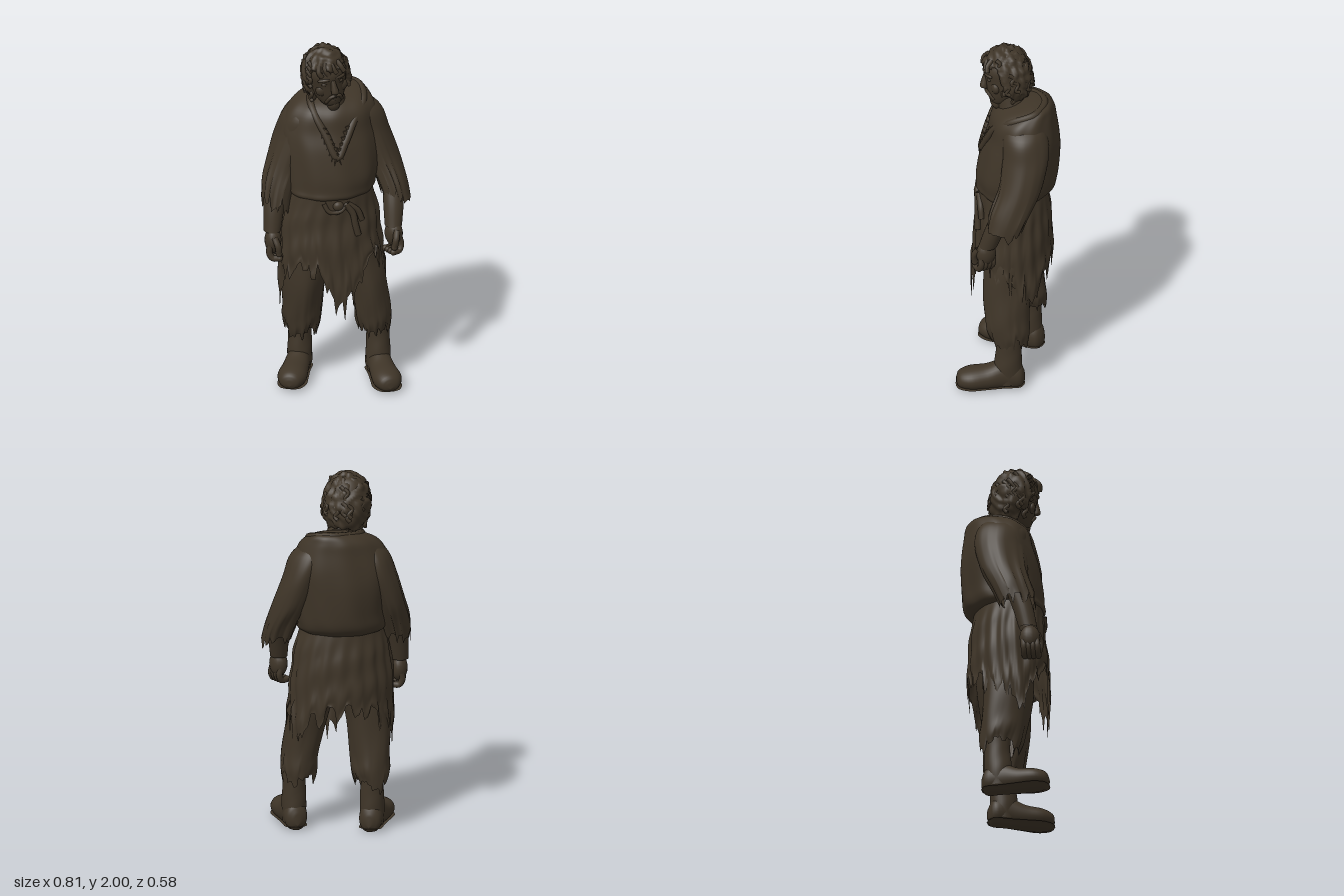
import * as THREE from 'three';

const cloth = new THREE.MeshStandardMaterial({ color: 0x3f3528, side: THREE.DoubleSide });
cloth.name = 'dark brown';
const V = (x, y, z) => new THREE.Vector3(x, y, z);

// seeded random numbers
let seed = 7;
const rnd = () => (seed = (seed * 16807) % 2147483647) / 2147483647;

function add(parent, name, geo) {
  const m = new THREE.Mesh(geo, cloth);
  m.name = name;
  parent.add(m);
  return m;
}

// Smooth skin through elliptical sections [cx, y, cz, rx, rz], top to bottom.
// hem(angle) gives the height of a torn lower edge; folds ripple the cloth.
function loft(secs, { seg = 40, rows = 24, fold = 0, freq = 9, hem = null, cap = false } = {}) {
  const curve = f => new THREE.CatmullRomCurve3(secs.map(f), false, 'catmullrom', 0.5);
  const mid = curve(s => V(s[0], s[1], s[2])), rad = curve(s => V(s[3], s[4], 0));
  const top = secs[0][1], end = secs[secs.length - 1][1], pos = [], idx = [];
  for (let i = 0; i <= rows; i++) {
    const t = i / rows, c = mid.getPoint(t), r = rad.getPoint(t);
    for (let j = 0; j < seg; j++) {
      const a = j / seg * Math.PI * 2;
      const k = 1 + fold * (Math.sin(freq * a + 2 * Math.sin(t * 4)) + 0.6 * Math.sin(t * 17 + 3 * a)) * Math.min(1, t * 4);
      const stretch = hem ? 1 + ((top - hem(a, j)) / (top - end) - 1) * t : 1;
      pos.push(c.x + r.x * k * Math.sin(a), top - (top - c.y) * stretch, c.z + r.y * k * Math.cos(a));
      if (i < rows) {
        const n = (j + 1) % seg, p = i * seg;
        idx.push(p + j, p + seg + j, p + n, p + n, p + seg + j, p + seg + n);
      }
    }
  }
  if (cap) [0, rows].forEach(i => {
    for (let j = 1; j < seg - 1; j++) idx.push(i * seg, i * seg + (i ? j + 1 : j), i * seg + (i ? j : j + 1));
  });
  const g = new THREE.BufferGeometry();
  g.setAttribute('position', new THREE.Float32BufferAttribute(pos, 3));
  g.setIndex(idx);
  g.computeVertexNormals();
  return g;
}

// Torn edge: heights around the body (front, left, back, right) plus ragged strips
function tornHem(heights, rag, seg) {
  const strips = [];
  for (let j = 0; j < seg; j++) strips.push(j % 4 < 2 && strips.length ? strips[j - 1] * 0.8 : (rnd() - 0.35) * rag);
  return (a, j) => {
    const u = a / (Math.PI * 2) * heights.length, i = Math.floor(u), f = u - i;
    return heights[i % heights.length] * (1 - f) + heights[(i + 1) % heights.length] * f - strips[j];
  };
}

const tube = (pts, r, closed = false, n = 24) =>
  new THREE.TubeGeometry(new THREE.CatmullRomCurve3(pts.map(p => V(...p)), closed), n, r, 8, closed);

function ball(parent, name, p, s, rot = [0, 0, 0]) {
  const m = add(parent, name, new THREE.SphereGeometry(1, 18, 12));
  m.position.set(...p);
  m.scale.set(...s);
  m.rotation.set(...rot);
  return m;
}

// Tousled hair: a rippled shell that sinks below the skin over the face
function hairShell() {
  const g = new THREE.SphereGeometry(1, 72, 48), p = g.attributes.position;
  for (let i = 0; i < p.count; i++) {
    const x = p.getX(i), y = p.getY(i), z = p.getZ(i);
    const wave = Math.sin(9 * x + 4 * Math.sin(5 * y + 2 * z)) * Math.sin(8 * y + 3 * Math.sin(6 * z)) + .5 * Math.sin(15 * z + 11 * x + 6 * y);
    const edge = .05 * Math.sin(14 * x + 9 * y);
    const face = (z > .42 + edge && y < .5 + edge) || (z > .1 + edge && y < -.45);
    const k = face || y < -.8 ? .8 : 1.14 + .06 * wave;
    p.setXYZ(i, x * .117 * k, y * .155 * k, z * .122 * k);
  }
  g.computeVertexNormals();
  return g;
}

function makeHead() {
  const h = new THREE.Group();
  h.name = 'head';
  add(h, 'face', loft([[0, .165, -.01, .01, .01], [0, .14, -.01, .075, .08], [0, .07, 0, .112, .122], [0, 0, 0, .108, .122],
    [0, -.07, .015, .092, .108], [0, -.13, .04, .06, .075], [0, -.165, .05, .02, .03]], { seg: 32, cap: true }));
  add(h, 'nose', loft([[0, .035, .115, .012, .012], [0, 0, .128, .016, .018], [0, -.035, .138, .022, .02], [0, -.05, .122, .013, .01]],
    { seg: 16, rows: 12, cap: true }));
  for (const s of [1, -1]) {
    ball(h, 'brow', [s * .045, .042, .107], [.038, .012, .015], [0, s * .35, s * -.12]);
    ball(h, 'eye', [s * .043, .014, .106], [.02, .01, .011]);
    ball(h, 'cheek', [s * .05, -.035, .08], [.042, .038, .026]);
    add(h, 'moustache', tube([[0, -.062, .128], [s * .028, -.072, .122], [s * .046, -.11, .1]], .01));
  }
  ball(h, 'lowerLip', [0, -.095, .112], [.022, .009, .012]);
  ball(h, 'beard', [0, -.145, .085], [.036, .042, .032], [.3, 0, 0]);
  add(h, 'hair', hairShell());
  // Loose locks lying flat along the hair
  for (let i = 0; i < 26; i++) {
    const a = 1 + rnd() * 4.3, y = -.5 + rnd() * 1.25, q = Math.sqrt(1 - y * y);
    const at = (da, dy) => [q * Math.sin(a + da) * .127, (y + dy) * .168, q * Math.cos(a + da) * .133];
    add(h, 'hairLock', tube([at(0, .15), at(.2, .02), at(.05, -.16), at(.2, -.26)], .011, false, 12));
  }
  for (const x of [-.07, -.03, .015, .06]) {
    add(h, 'fringeLock', tube([[x * .8, .125, .075], [x, .1, .103], [x + .012, .07, .113]], .014, false, 10));
  }
  h.position.set(-.055, 1.82, -.002);
  h.rotation.set(.14, .15, .13);
  return h;
}

// s = 1 is the left hand, -1 the right
function makeHand(s) {
  const h = new THREE.Group();
  h.name = 'hand';
  ball(h, 'palm', [0, 0, 0], [.046, .074, .056]);
  for (let i = 0; i < 4; i++) {
    const z = .036 - i * .024;
    add(h, 'finger', tube([[s * .012, -.02, z], [s * .018, -.06, z + .005], [0, -.09, z + .008], [-s * .038, -.09, z + .01]], .018, false, 12));
    ball(h, 'fingertip', [-s * .038, -.09, z + .01], [.018, .018, .018]);
  }
  add(h, 'thumb', tube([[-s * .01, .03, .04], [-s * .03, -.015, .058], [-s * .035, -.06, .052]], .018, false, 12));
  ball(h, 'thumbTip', [-s * .035, -.06, .052], [.018, .018, .018]);
  return h;
}

function makeBoot(x, z, turn) {
  const b = new THREE.Group();
  b.name = 'boot';
  add(b, 'shaft', loft([[0, .34, 0, .064, .072], [0, .24, 0, .063, .07], [0, .13, .005, .067, .076], [0, .03, .005, .06, .07]], { seg: 32, fold: .012, freq: 3 }));
  const form = (name, grow, maxY) => {
    const g = loft([[0, .287, -.05, .018, .015], [0, .27, -.056, .055, .044], [0, .21, -.06, .08, .062], [0, .12, -.064, .073, .07],
      [0, .03, -.08, .064, .088], [0, -.055, -.07, .06, .078], [0, -.085, -.06, .02, .03]], { seg: 32, cap: true }).rotateX(Math.PI / 2);
    const p = g.attributes.position;
    for (let i = 0; i < p.count; i++) {
      p.setXYZ(i, p.getX(i) * grow, Math.min(maxY, Math.max(0, p.getY(i))), p.getZ(i) * grow);
    }
    g.computeVertexNormals();
    add(b, name, g);
  };
  form('foot', 1, 1);
  form('sole', 1.01, .02);
  b.position.set(x, 0, z);
  b.rotation.y = turn;
  return b;
}

export function createModel() {
  const g = new THREE.Group();
  g.name = 'raggedMan';

  g.add(makeHead());
  add(g, 'neck', loft([[-.035, 1.74, -.01, .07, .075], [-.015, 1.66, -.03, .075, .08], [0, 1.6, -.05, .09, .095]], { seg: 24 }));

  // Loose tunic, hunched at the back and bagging over the waist
  add(g, 'tunic', loft([[.05, 1.71, -.165, .03, .02], [.045, 1.7, -.16, .11, .07], [.012, 1.66, -.115, .19, .14], [-.005, 1.6, -.09, .24, .175],
    [-.015, 1.5, -.088, .27, .193], [-.015, 1.4, -.075, .27, .212], [-.012, 1.26, -.056, .258, .222], [-.02, 1.18, -.05, .25, .218],
    [-.025, 1.14, -.036, .24, .202], [-.025, 1.11, -.03, .19, .15]], { seg: 96, rows: 48, fold: .011, freq: 10, cap: true }));

  // Soft collar running down to an open V with a frayed edge
  add(g, 'collar', tube([[-.02, 1.38, .138], [-.075, 1.5, .098], [-.125, 1.61, .035], [-.13, 1.66, -.05], [-.07, 1.685, -.16],
    [.05, 1.695, -.2], [.155, 1.685, -.14], [.155, 1.64, -.02], [.085, 1.56, .068], [.03, 1.46, .113]], .022, true, 80));
  for (let i = 0; i < 12; i++) {
    const u = (i % 6) / 6, s = i < 6 ? -1 : 1;
    const c = add(g, 'collarTatter', new THREE.ConeGeometry(.014, .06 + rnd() * .03, 6));
    c.position.set(-.02 + s * (.01 + u * .075), 1.37 + u * .17, .148 - u * .06);
    c.rotation.set(Math.PI - .2, 0, s * -.3);
  }

  // Torn sleeves, forearms and hands
  const arms = {
    left: [[[.13, 1.655, -.1, .03, .06], [.17, 1.575, -.09, .095, .115], [.215, 1.45, -.092, .1, .122], [.27, 1.3, -.062, .096, .115],
      [.312, 1.18, -.01, .088, .108], [.33, 1.1, .022, .08, .1]],
    [[.315, 1.18, .02, .058, .06], [.305, 1.06, .075, .056, .056], [.295, .94, .118, .047, .05]], [.295, .895, .127], .45],
    right: [[[-.13, 1.655, -.1, .03, .06], [-.17, 1.575, -.1, .09, .13], [-.21, 1.45, -.115, .097, .14], [-.26, 1.3, -.105, .094, .128],
      [-.3, 1.18, -.075, .09, .112], [-.325, 1.08, -.045, .078, .1]],
    [[-.32, 1.18, -.06, .058, .06], [-.34, 1.04, -.02, .056, .056], [-.354, .92, .005, .047, .05]], [-.352, .865, .014], -.25]
  };
  for (const side in arms) {
    const [sleeve, fore, hand, turn] = arms[side], s = side === 'left' ? 1 : -1, y = s > 0 ? 1.1 : 1.08;
    add(g, side + 'Sleeve', loft(sleeve, { seg: 56, rows: 32, fold: .018, freq: 4, hem: tornHem([y + .02, y - .03, y, y + .02], .1, 56) }));
    add(g, side + 'Forearm', loft(fore, { seg: 24 }));
    const h = makeHand(s);
    h.position.set(...hand);
    h.rotation.y = turn;
    g.add(h);
  }

  // Knotted cord at the waist with hanging ends
  ball(g, 'beltKnot', [-.02, 1.1, .16], [.03, .028, .022]);
  add(g, 'beltEnd', tube([[-.1, 1.12, .155], [-.07, 1.07, .165], [-.01, 1.07, .168], [.03, 1.11, .16]], .012));
  add(g, 'beltEnd', tube([[.02, 1.11, .16], [.06, 1.05, .163], [.075, .98, .165], [.09, .92, .164]], .018));
  add(g, 'beltEnd', tube([[.03, 1.11, .155], [.09, 1.06, .15], [.115, 1.0, .145]], .016));

  // Shredded skirt, longest in the front middle and at the hips
  const skirtHem = [.47, .67, .79, .7, .62, .62, .67, .72, .75, .71, .67, .59, .52, .67, .8, .7];
  add(g, 'skirt', loft([[-.025, 1.14, -.028, .23, .188], [-.025, 1.0, -.036, .265, .2], [-.025, .85, -.032, .28, .213],
    [-.02, .7, -.028, .287, .22], [-.015, .6, -.025, .29, .222]], { seg: 144, rows: 36, fold: .02, freq: 19, hem: tornHem(skirtHem, .17, 144) }));

  // Baggy trousers, full at the shin with ragged cuffs
  const legs = {
    left: [[.11, .88, -.03, .12, .15], [.135, .76, -.02, .122, .148], [.168, .6, 0, .108, .136], [.197, .45, .008, .1, .122],
      [.208, .36, .002, .098, .116], [.215, .3, -.005, .084, .1]],
    right: [[-.13, .88, -.06, .12, .14], [-.145, .76, -.06, .125, .14], [-.166, .6, -.065, .12, .138], [-.17, .43, -.085, .108, .128],
      [-.17, .34, -.1, .104, .122], [-.172, .28, -.11, .088, .104]]
  };
  for (const side in legs) {
    const y = side === 'left' ? .3 : .28;
    add(g, side + 'Trouser', loft(legs[side], { seg: 64, rows: 36, fold: .022, freq: 5, hem: tornHem([y, y + .01, y - .02, y], .08, 64) }));
  }

  g.add(makeBoot(.235, 0, .03));
  g.add(makeBoot(-.172, -.125, -.42));
  return g;
}
